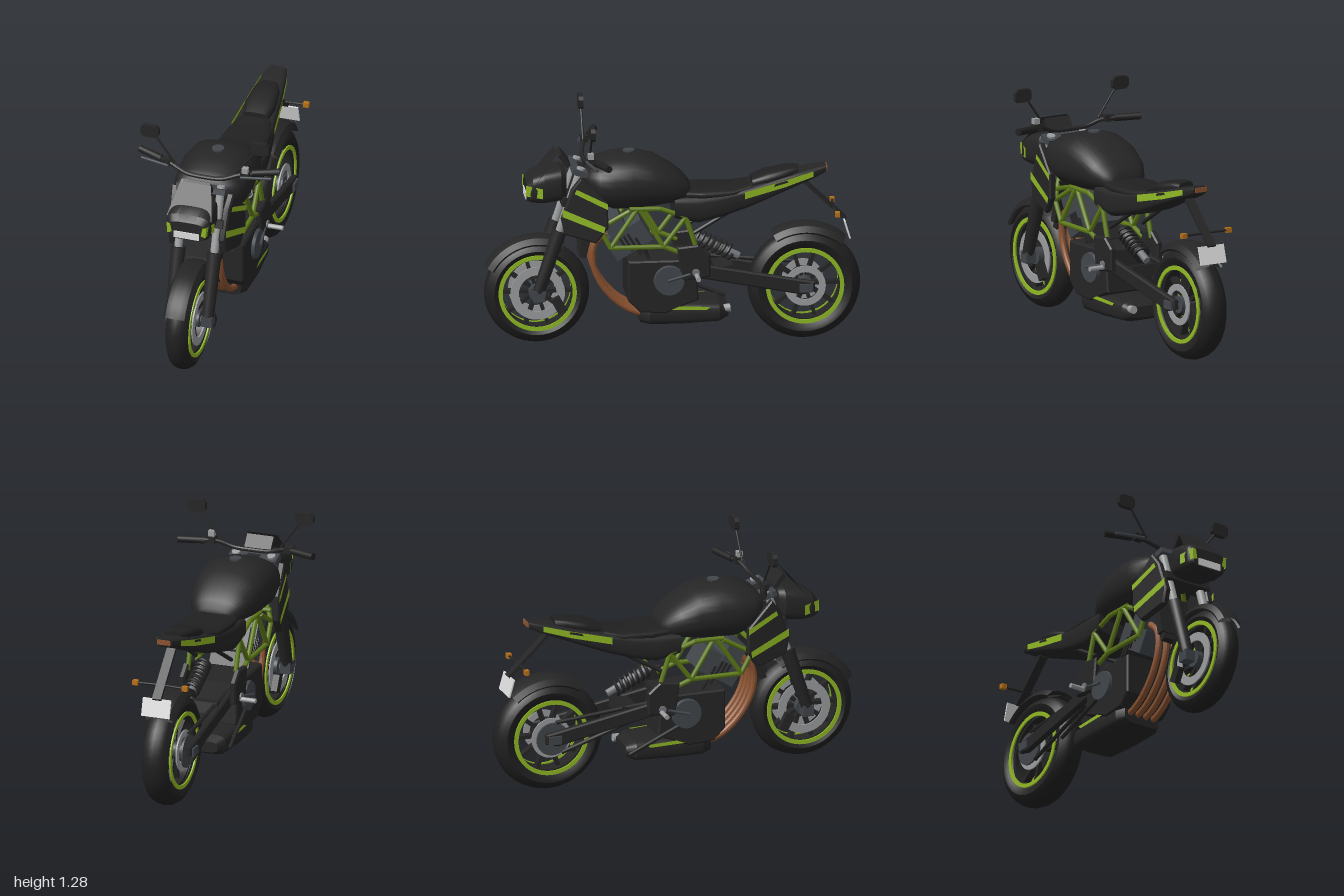
import * as THREE from 'three';
import { toCreasedNormals } from 'three/addons/utils/BufferGeometryUtils.js';

const V = (x, y, z) => new THREE.Vector3(x, y, z);

export function createModel() {
  const root = new THREE.Group();
  root.name = 'motorcycle';
  const mat = (name, color) => {
    const m = new THREE.MeshStandardMaterial({ color, side: THREE.DoubleSide });
    m.name = name;
    return m;
  };
  const black = mat('black', 0x252525), rubber = mat('rubber', 0x202020);
  const gray = mat('darkGray', 0x41464b), silver = mat('silver', 0x9a9c9e);
  const steel = mat('steel', 0x75787b), green = mat('green', 0x90b824);
  const frameGreen = mat('frameGreen', 0x5f7b18), copper = mat('copper', 0x8a5230);
  const amber = mat('amber', 0xb87018), white = mat('white', 0xdcdcdc);

  const add = (name, geo, m, crease = 0.6) => {
    const mesh = new THREE.Mesh(toCreasedNormals(geo, crease), m);
    mesh.name = name;
    root.add(mesh);
    return mesh;
  };
  const box = (name, m, [w, h, d], [x, y, z], rx = 0) =>
    add(name, new THREE.BoxGeometry(w, h, d).rotateX(rx).translate(x, y, z), m);
  // straight round bar between two points
  const bar = (name, m, a, b, r, r2 = r, sides = 12) => {
    const dir = b.clone().sub(a);
    const g = new THREE.CylinderGeometry(r2, r, dir.length(), sides);
    g.applyQuaternion(new THREE.Quaternion().setFromUnitVectors(V(0, 1, 0), dir.normalize()));
    const c = a.clone().add(b).multiplyScalar(0.5);
    return add(name, g.translate(c.x, c.y, c.z), m);
  };
  const pipe = (name, m, pts, r) =>
    add(name, new THREE.TubeGeometry(new THREE.CatmullRomCurve3(pts), 32, r, 10), m);
  // thin flat panel through coplanar corners
  const panel = (name, m, pts) => {
    const g = new THREE.BufferGeometry().setFromPoints(pts);
    const idx = [];
    for (let i = 1; i < pts.length - 1; i++) idx.push(0, i, i + 1);
    g.setIndex(idx);
    g.computeVertexNormals();
    return add(name, g, m);
  };
  // outline in (z, y), extruded across x, optionally toed in towards the front
  const plate = (name, m, pts, x, depth, toe = 0, bevel = 0.008) => {
    const g = new THREE.ExtrudeGeometry(new THREE.Shape(pts.map(p => new THREE.Vector2(...p))),
      { depth: depth - 2 * bevel, bevelEnabled: bevel > 0, bevelSize: bevel, bevelThickness: bevel, bevelSegments: 1 });
    g.translate(0, 0, bevel - depth / 2).rotateY(-Math.PI / 2).translate(x, 0, 0);
    const p = g.attributes.position;
    for (let i = 0; i < p.count; i++) p.setX(i, p.getX(i) - toe * (p.getZ(i) - 0.4));
    return add(name, g, m, 0.4);
  };
  // body lofted along z from sections [z, bottom, top, halfWidth]
  const loft = (name, m, secs, e = 2.5, crease = 0.6, n = 32) => {
    const pos = [], idx = [], L = secs.length;
    for (const [z, b, t, w] of secs) for (let j = 0; j < n; j++) {
      const a = (j / n) * Math.PI * 2, c = Math.cos(a), s = Math.sin(a);
      pos.push(w * Math.sign(c) * Math.abs(c) ** (2 / e),
        (b + t) / 2 + (t - b) / 2 * Math.sign(s) * Math.abs(s) ** (2 / e), z);
    }
    for (const s of [secs[0], secs[L - 1]]) pos.push(0, (s[1] + s[2]) / 2, s[0]);
    for (let j = 0; j < n; j++) {
      const k = (j + 1) % n;
      for (let i = 0; i < L - 1; i++) {
        const a = i * n + j, b = i * n + k, c = a + n, d = b + n;
        idx.push(a, b, d, a, d, c);
      }
      idx.push(L * n, k, j, L * n + 1, (L - 1) * n + j, (L - 1) * n + k);
    }
    const g = new THREE.BufferGeometry();
    g.setAttribute('position', new THREE.Float32BufferAttribute(pos, 3));
    g.setIndex(idx);
    g.computeVertexNormals();
    return add(name, g, m, crease);
  };
  // closed (radius, x) profile spun about the wheel axle
  const spin = (name, m, prof, x, y, z) =>
    add(name, new THREE.LatheGeometry([...prof, prof[0]].map(p => new THREE.Vector2(...p)), 48)
      .rotateZ(-Math.PI / 2).translate(x, y, z), m);
  const ring = (name, m, ri, ro, w, x, y, z) =>
    spin(name, m, [[ri, -w / 2], [ro, -w / 2], [ro, w / 2], [ri, w / 2]], x, y, z);
  const both = fn => [1, -1].forEach(fn);

  // wheels
  const wheel = (name, z, R, w, discOut, discIn) => {
    const y = 0.31;
    spin(name + 'Tyre', rubber, [[0.2, -w * 0.65], [0.23, -w * 0.93], [R - 0.05, -w], [R - 0.02, -w * 0.75],
      [R - 0.005, -w * 0.4], [R, 0], [R - 0.005, w * 0.4], [R - 0.02, w * 0.75], [R - 0.05, w],
      [0.23, w * 0.93], [0.2, w * 0.65]], 0, y, z);
    ring(name + 'Rim', black, 0.187, 0.206, w * 1.2, 0, y, z);
    bar(name + 'Hub', gray, V(-w * 0.95, y, z), V(w * 0.95, y, z), 0.045, 0.045, 24);
    both(s => {
      ring(name + 'RimStripe', green, 0.186, 0.208, 0.008, s * w * 0.93, y, z);
      ring(name + 'BrakeDisc', silver, discIn, discOut, 0.008, s * w * 0.9, y, z);
      bar(name + 'AxleNut', steel, V(s * w, y, z), V(s * (w + 0.03), y, z), 0.02);
    });
    for (let i = 0; i < 10; i++) {
      const a = (i + 0.5) * Math.PI / 5;
      add(name + 'Spoke', new THREE.BoxGeometry(0.04, 0.16, 0.02).translate(0, 0.115, 0)
        .rotateX(a).translate(0, y, z), black);
    }
  };
  wheel('front', 0.72, 0.28, 0.063, 0.145, 0.1);
  wheel('rear', -0.7, 0.3, 0.075, 0.11, 0.075);

  // mudguards: curved shells about each axle
  const guard = (name, z, r, w, a0, a1) => {
    const prof = [[r - 0.04, -w], [r - 0.01, -w * 0.75], [r, -w * 0.3], [r, w * 0.3], [r - 0.01, w * 0.75],
      [r - 0.04, w], [r - 0.05, w * 0.9], [r - 0.02, 0], [r - 0.05, -w * 0.9], [r - 0.04, -w]];
    const g = new THREE.LatheGeometry(prof.map(p => new THREE.Vector2(...p)), 20, a0, a1 - a0);
    add(name, g.rotateZ(-Math.PI / 2).translate(0, 0.31, z), black);
  };
  const deg = Math.PI / 180;
  guard('frontMudguard', 0.72, 0.312, 0.072, -62 * deg + Math.PI / 2, 28 * deg + Math.PI / 2);
  guard('rearMudguard', -0.7, 0.337, 0.085, 58 * deg, 130 * deg);
  // orient both guards so the arcs sit over the wheels
  for (const [name, z, a0, a1] of [['frontMudguard', 0.72, 28, 118], ['rearMudguard', -0.7, 58, 132]]) {
    const mesh = root.getObjectByName(name), p = mesh.geometry.attributes.position;
    let sy = 0, sz = 0;
    for (let i = 0; i < p.count; i++) { sy += p.getY(i) - 0.31; sz += p.getZ(i) - z; }
    const turn = Math.atan2(sz, sy) - Math.PI / 2 + (a0 + a1) / 2 * deg;
    mesh.geometry.translate(0, -0.31, -z).rotateX(-turn).translate(0, 0.31, z);
  }

  // fork, clamps and brake calipers
  const fz = y => 0.72 - (y - 0.33) * 0.333;
  both(s => {
    const x = s * 0.1;
    bar('forkTube', silver, V(x, 0.6, fz(0.6)), V(x, 1.01, fz(1.01)), 0.022, 0.022, 16);
    bar('forkLeg', black, V(x, 0.33, fz(0.33)), V(x, 0.665, fz(0.665)), 0.032, 0.04, 16);
    box('forkFoot', gray, [0.06, 0.06, 0.06], [x, 0.31, 0.72]);
    box('brakeCaliper', black, [0.035, 0.09, 0.05], [s * 0.085, 0.25, 0.61], 0.5);
  });
  box('lowerForkClamp', black, [0.28, 0.045, 0.08], [0, 0.82, fz(0.82)], -0.3);
  box('upperForkClamp', gray, [0.27, 0.03, 0.08], [0, 0.985, fz(0.985)], -0.3);
  box('steeringHead', black, [0.07, 0.2, 0.07], [0, 0.9, 0.5], -0.32);

  // headlight cowl, screen and instruments
  loft('headlightCowl', black, [[0.57, 0.83, 0.99, 0.09], [0.6, 0.82, 1.0, 0.115], [0.69, 0.81, 0.985, 0.125],
    [0.75, 0.815, 0.96, 0.12], [0.78, 0.825, 0.93, 0.1]], 4, 0.4);
  box('headlightLens', white, [0.14, 0.038, 0.009], [0, 0.852, 0.781]);
  panel('screen', black, [V(-0.085, 1.08, 0.62), V(0.085, 1.08, 0.62), V(0.125, 0.93, 0.735), V(-0.125, 0.93, 0.735)]);
  box('instruments', black, [0.15, 0.08, 0.025], [0, 1.04, 0.58], 0.65);
  both(s => {
    panel('headlightSidePanel', green, [V(s * 0.104, 0.86, 0.785), V(s * 0.13, 0.85, 0.7), V(s * 0.13, 0.905, 0.7), V(s * 0.108, 0.92, 0.785)]);
    panel('headlightFrontPanel', green, [V(s * 0.08, 0.865, 0.786), V(s * 0.106, 0.855, 0.785), V(s * 0.11, 0.92, 0.785), V(s * 0.09, 0.915, 0.786)]);
  });

  // handlebar, grips, levers and mirrors
  pipe('handlebar', black, [V(-0.28, 1.075, 0.415), V(-0.19, 1.07, 0.45), V(-0.1, 1.04, 0.47), V(0, 1.035, 0.475),
    V(0.1, 1.04, 0.47), V(0.19, 1.07, 0.45), V(0.28, 1.075, 0.415)], 0.012);
  both(s => {
    bar('grip', rubber, V(s * 0.25, 1.075, 0.425), V(s * 0.385, 1.08, 0.375), 0.019);
    bar('lever', gray, V(s * 0.2, 1.068, 0.475), V(s * 0.36, 1.066, 0.435), 0.008);
    box('switchBlock', black, [0.05, 0.035, 0.04], [s * 0.22, 1.075, 0.445]);
    bar('mirrorStalk', black, V(s * 0.17, 1.08, 0.455), V(s * 0.28, 1.235, 0.455), 0.006);
    const shape = new THREE.Shape([[0.05, 0.018], [0.033, 0.035], [-0.033, 0.035], [-0.05, 0.018],
      [-0.05, -0.018], [-0.033, -0.035], [0.033, -0.035], [0.05, -0.018]].map(p => new THREE.Vector2(...p)));
    add('mirror', new THREE.ExtrudeGeometry(shape, { depth: 0.025, bevelEnabled: false })
      .translate(s * 0.305, 1.255, 0.443), black);
  });
  box('brakeFluidReservoir', silver, [0.034, 0.03, 0.03], [0.222, 1.107, 0.455]);

  // tank
  loft('fuelTank', black, [[-0.09, 0.82, 0.89, 0.09], [-0.06, 0.8, 0.93, 0.13], [0, 0.79, 0.98, 0.165],
    [0.1, 0.775, 1.04, 0.19], [0.22, 0.765, 1.068, 0.2], [0.32, 0.765, 1.057, 0.2], [0.4, 0.8, 1.032, 0.188],
    [0.45, 0.87, 1.005, 0.16], [0.47, 0.91, 0.98, 0.11]], 2.4, 0.9);
  bar('fuelCap', gray, V(0, 1.06, 0.23), V(0, 1.073, 0.23), 0.032, 0.032, 24);

  // radiator and its side shrouds with stripes
  box('radiator', black, [0.2, 0.24, 0.04], [0, 0.66, 0.455], -0.2);
  box('radiatorLowerTank', black, [0.17, 0.11, 0.035], [0, 0.56, 0.47], -0.25);
  both(s => {
    plate('radiatorShroud', black, [[0.5, 0.96], [0.37, 0.83], [0.365, 0.7], [0.425, 0.62], [0.58, 0.665], [0.597, 0.74], [0.545, 0.9]],
      s * 0.17, 0.04, s * 0.16);
    const on = (z, y) => V(s * (0.193 - 0.16 * (z - 0.4)), y, z);
    panel('upperShroudStripe', green, [on(0.525, 0.91), on(0.362, 0.832), on(0.362, 0.8), on(0.535, 0.885)]);
    panel('lowerShroudStripe', green, [on(0.6, 0.8), on(0.375, 0.705), on(0.38, 0.67), on(0.6, 0.758)]);
  });

  // seat and tail
  loft('tail', black, [[-0.815, 0.925, 0.963, 0.045], [-0.75, 0.895, 0.952, 0.065], [-0.6, 0.835, 0.92, 0.088],
    [-0.4, 0.755, 0.87, 0.112], [-0.25, 0.71, 0.85, 0.135], [-0.13, 0.685, 0.845, 0.15], [0, 0.715, 0.84, 0.15]], 4.5);
  loft('riderSeat', rubber, [[-0.41, 0.83, 0.885, 0.09], [-0.32, 0.815, 0.866, 0.12], [-0.15, 0.81, 0.868, 0.138],
    [-0.04, 0.82, 0.868, 0.125]], 3);
  loft('passengerSeat', rubber, [[-0.67, 0.91, 0.958, 0.045], [-0.62, 0.9, 0.96, 0.07], [-0.5, 0.865, 0.938, 0.085],
    [-0.42, 0.85, 0.905, 0.07]], 2.8);
  both(s => {
    panel('tailStripe', green, [V(s * 0.119, 0.85, -0.375), V(s * 0.119, 0.812, -0.375), V(s * 0.093, 0.863, -0.59), V(s * 0.093, 0.9, -0.59)]);
    panel('tailStripeRear', green, [V(s * 0.093, 0.9, -0.59), V(s * 0.093, 0.863, -0.59), V(s * 0.07, 0.91, -0.745), V(s * 0.07, 0.94, -0.745)]);
    panel('tailVent', black, [V(s * 0.101, 0.886, -0.54), V(s * 0.101, 0.87, -0.53), V(s * 0.094, 0.89, -0.61), V(s * 0.094, 0.9, -0.6)]);
    bar('indicatorStalk', black, V(0, 0.72, -0.855), V(s * 0.13, 0.72, -0.865), 0.007);
    box('indicator', amber, [0.03, 0.026, 0.025], [s * 0.14, 0.72, -0.865]);
  });
  box('tailLight', copper, [0.075, 0.026, 0.02], [0, 0.945, -0.812]);
  box('plateBracket', black, [0.05, 0.31, 0.018], [0, 0.765, -0.81], 0.8);
  box('numberPlate', white, [0.16, 0.1, 0.008], [0, 0.613, -0.925], 0.28);

  // trellis frame
  both(s => {
    const p = (z, y, x = 0.135) => V(s * x, y, z);
    [[p(0.4, 0.68), p(0.34, 0.57)], [p(0.34, 0.57), p(0.06, 0.57)], [p(0.34, 0.57), p(0.2, 0.78)],
      [p(0.4, 0.68), p(0.46, 0.85, 0.06)], [p(0.4, 0.68), p(0.24, 0.77)], [p(0.24, 0.78), p(0.08, 0.78)],
      [p(0.18, 0.77), p(0.06, 0.57)], [p(0.06, 0.57), p(-0.06, 0.73)], [p(0.08, 0.78), p(-0.06, 0.73)],
      [p(-0.06, 0.73), p(-0.12, 0.54)], [p(0.06, 0.57), p(-0.04, 0.53)]
    ].forEach(([a, b]) => bar('frameTube', frameGreen, a, b, 0.013));
    bar('subframeTube', black, p(-0.09, 0.62, 0.1), p(-0.38, 0.79, 0.09), 0.011);
  });
  bar('frameCrossTube', frameGreen, V(-0.135, 0.74, 0.4), V(0.135, 0.74, 0.4), 0.013);

  // engine
  plate('crankcase', black, [[0.24, 0.28], [0.24, 0.485], [-0.1, 0.485], [-0.12, 0.28], [0.05, 0.21], [0.18, 0.22]], 0, 0.29);
  box('cylinderBlock', gray, [0.21, 0.13, 0.22], [0, 0.6, 0.24], -0.55 + 1.1);
  box('cylinderHead', gray, [0.23, 0.12, 0.1], [0, 0.675, 0.31], 0.5);
  for (let i = 0; i < 4; i++)
    box('coolingFin', black, [0.225, 0.14, 0.014], [0, 0.555 + i * 0.025, 0.17 + i * 0.043], 0.55);
  both(s => {
    bar('engineCover', gray, V(s * 0.14, 0.385, 0.03), V(s * 0.162, 0.385, 0.03), 0.085, 0.078, 32);
    plate('pivotPlate', black, [[-0.02, 0.56], [-0.12, 0.57], [-0.18, 0.52], [-0.18, 0.41], [-0.04, 0.39]], s * 0.145, 0.035);
    bar('pivotBolt', steel, V(s * 0.15, 0.43, -0.11), V(s * 0.17, 0.43, -0.11), 0.02);
    bar('footpeg', silver, V(s * 0.14, 0.415, -0.115), V(s * 0.25, 0.415, -0.115), 0.013);
    bar('footLever', gray, V(s * 0.16, 0.42, -0.08), V(s * 0.175, 0.39, 0.04), 0.008);
  });

  // exhaust headers and belly silencer
  [-0.075, -0.025, 0.025, 0.075].forEach(x => pipe('exhaustHeader', copper,
    [V(x, 0.64, 0.36), V(x, 0.58, 0.42), V(x, 0.48, 0.43), V(x, 0.36, 0.385), V(x, 0.25, 0.29), V(x, 0.2, 0.2), V(x, 0.185, 0.12)], 0.017));
  loft('bellySilencer', black, [[-0.29, 0.16, 0.22, 0.1], [-0.24, 0.135, 0.245, 0.13], [-0.05, 0.128, 0.255, 0.14],
    [0.13, 0.128, 0.25, 0.135], [0.18, 0.14, 0.24, 0.11]], 4, 0.4);
  both(s => panel('bellyStripe', green, [V(s * 0.144, 0.245, 0.11), V(s * 0.144, 0.222, 0.09), V(s * 0.144, 0.215, -0.17), V(s * 0.144, 0.232, -0.19)]));
  bar('exhaustTip', silver, V(0.09, 0.205, -0.25), V(0.09, 0.21, -0.3), 0.022);

  // swingarm, chain and shock absorber
  both(s => {
    plate('swingarm', black, [[-0.1, 0.46], [-0.1, 0.4], [-0.68, 0.285], [-0.74, 0.3], [-0.74, 0.34], [-0.68, 0.35]], s * 0.11, 0.035);
    box('axleBlock', gray, [0.025, 0.045, 0.07], [s * 0.125, 0.315, -0.7]);
  });
  box('swingarmBridge', black, [0.21, 0.06, 0.1], [0, 0.41, -0.27], 0.2);
  bar('chainUpperRun', black, V(-0.09, 0.455, -0.12), V(-0.09, 0.4, -0.68), 0.011);
  bar('chainLowerRun', black, V(-0.09, 0.38, -0.2), V(-0.09, 0.23, -0.65), 0.011);
  bar('sprocket', gray, V(-0.085, 0.31, -0.7), V(-0.095, 0.31, -0.7), 0.09, 0.09, 32);
  const top = V(0.04, 0.6, -0.11), low = V(0.04, 0.48, -0.35);
  bar('shockBody', steel, top, low, 0.02);
  const coil = [];
  for (let i = 0; i <= 96; i++) {
    const a = i / 96 * 7 * Math.PI * 2, c = top.clone().lerp(low, 0.05 + 0.8 * i / 96);
    coil.push(c.add(V(Math.cos(a) * 0.036, Math.sin(a) * 0.032, Math.sin(a) * -0.016)));
  }
  add('shockSpring', new THREE.TubeGeometry(new THREE.CatmullRomCurve3(coil), 180, 0.01, 6), black);

  // folded side stand
  bar('sideStand', black, V(-0.15, 0.33, 0), V(-0.172, 0.2, -0.3), 0.011);
  return root;
}
